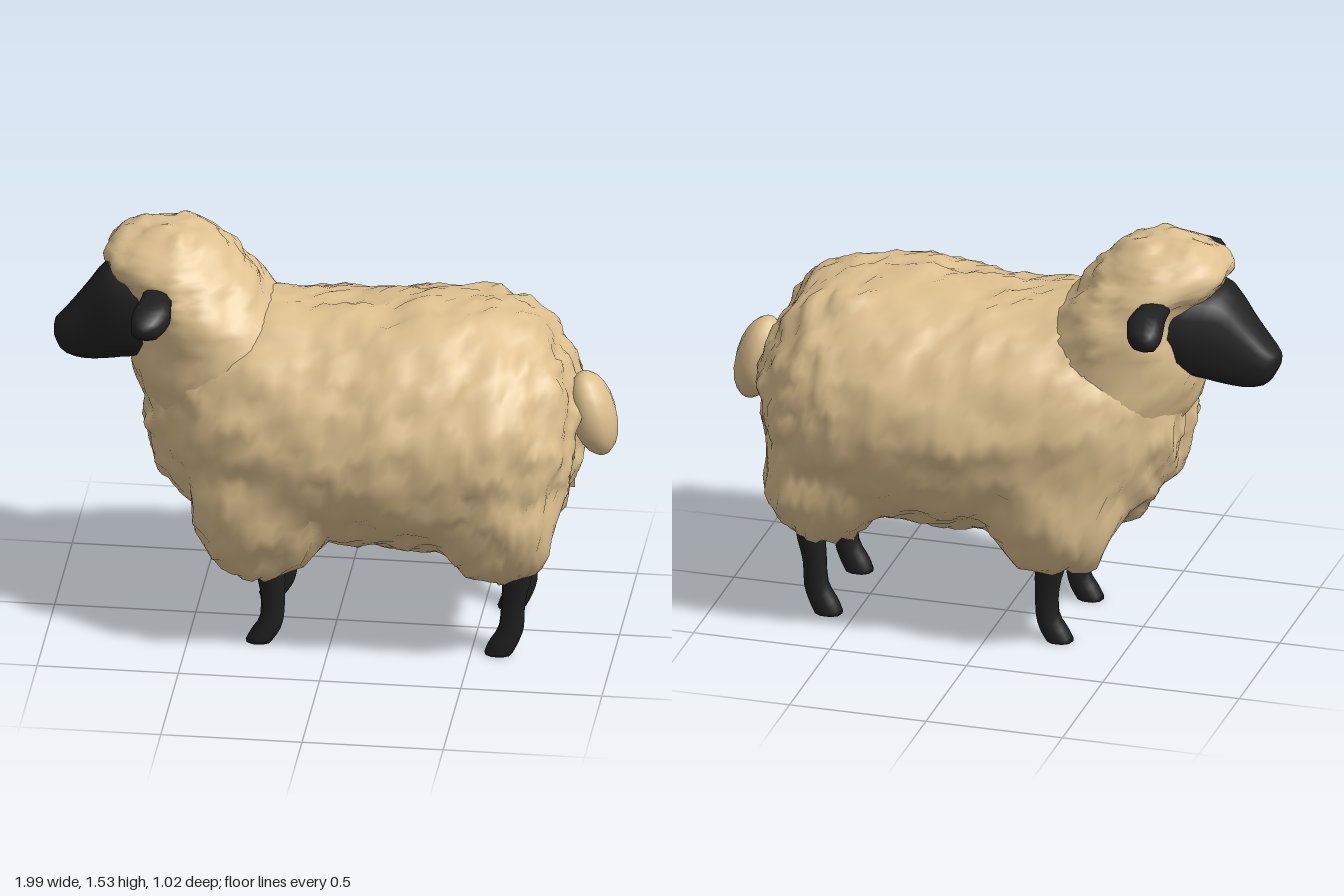
import * as THREE from 'three';

const wool = new THREE.MeshStandardMaterial({ color: 0xddc08f });
wool.name = 'cream wool';
const skin = new THREE.MeshStandardMaterial({ color: 0x202020 });
skin.name = 'black skin';

// Smooth value noise in -1..1, used for fleece lumps
function hash(i, j, k) {
  let h = Math.imul(i, 374761393) ^ Math.imul(j, 668265263) ^ Math.imul(k, 2147483629);
  h = Math.imul(h ^ (h >>> 13), 1274126177);
  return (((h ^ (h >>> 16)) >>> 0) / 4294967295) * 2 - 1;
}
function noise(x, y, z) {
  const p = [x, y, z], c = p.map(Math.floor), f = p.map((v, i) => v - c[i]).map(v => v * v * (3 - 2 * v));
  let sum = 0;
  for (let n = 0; n < 8; n++) {
    const o = [n & 1, (n >> 1) & 1, n >> 2];
    const w = o.reduce((m, b, i) => m * (b ? f[i] : 1 - f[i]), 1);
    sum += w * hash(c[0] + o[0], c[1] + o[1], c[2] + o[2]);
  }
  return sum;
}

// Upper-leg wool lobes that swell out of the body: centre and radii, mirrored in z
const lobes = [
  { c: [-0.24, 0.57, 0.245], r: [0.24, 0.285, 0.175] },
  { c: [0.59, 0.59, 0.245], r: [0.22, 0.285, 0.175] },
];

// Moves a body point outward from its ring centre to a smooth union with the lobes
function swell([x, y, z], [, cy, cz]) {
  let reach = Math.hypot(y - cy, z - cz);
  const dy = (y - cy) / reach, dz = (z - cz) / reach;
  for (const { c, r } of lobes) {
    const t = Math.abs((x - c[0]) / r[0]);
    if (t >= 1) continue;
    const s = Math.sqrt(1 - t ** 2.8), ry = r[1] * s, rz = r[2] * s;
    // Far crossing of the ray with the lobe's elliptical slice
    const oy = (cy - c[1]) / ry, oz = (cz - Math.sign(z) * c[2]) / rz, uy = dy / ry, uz = dz / rz;
    const A = uy * uy + uz * uz, B = oy * uy + oz * uz, D = B * B - A * (oy * oy + oz * oz - 1);
    if (D <= 0) continue;
    const hit = (-B + Math.sqrt(D)) / A, k = 0.04;
    const h = Math.max(k - Math.abs(reach - hit), 0) / k;
    reach = Math.max(reach, hit) + h * h * k / 4;
  }
  return [x, cy + dy * reach, cz + dz * reach];
}

// Lays out [position along axis, first cross range, second cross range] as xyz
const layout = {
  x: (t, a, b) => [t, a, b],   // ranges in y, z
  y: (t, a, b) => [a, t, b],   // ranges in x, z
  z: (t, a, b) => [b, a, t],   // ranges in y, x
};

// Closed skin through elliptical rings [t, a0, a1, b0, b1]; power < 1 squares the section
function loft(rings, axis, { sides = 12, steps = rings.length * 2, power = 1, lumps = 0, reshape = p => p } = {}) {
  const mid = new THREE.CatmullRomCurve3(rings.map(r => new THREE.Vector3(r[0], (r[1] + r[2]) / 2, (r[3] + r[4]) / 2)));
  const rad = new THREE.CatmullRomCurve3(rings.map(r => new THREE.Vector3(r[0], (r[2] - r[1]) / 2, (r[4] - r[3]) / 2)));
  const pos = [], index = [], place = layout[axis];
  const bend = v => Math.sign(v) * Math.abs(v) ** power;
  for (let i = 0; i <= steps; i++) {
    const m = mid.getPoint(i / steps), r = rad.getPoint(i / steps);
    for (let j = 0; j < sides; j++) {
      const q = ((j + (lumps ? 0.5 * (i % 2) : 0)) / sides) * Math.PI * 2;
      const p = place(m.x, m.y + r.y * bend(Math.cos(q)), m.z + r.z * bend(Math.sin(q)));
      pos.push(...reshape(p, place(m.x, m.y, m.z)));
    }
  }
  for (let i = 0; i < steps; i++) for (let j = 0; j < sides; j++) {
    const a = i * sides + j, b = i * sides + (j + 1) % sides, c = a + sides, d = b + sides;
    index.push(a, b, c, b, d, c);
  }
  // End caps
  for (const [i, flip] of [[0, true], [steps, false]]) {
    const m = mid.getPoint(i / steps), centre = pos.length / 3;
    pos.push(...place(m.x, m.y, m.z));
    for (let j = 0; j < sides; j++) {
      const a = i * sides + j, b = i * sides + (j + 1) % sides;
      index.push(...(flip ? [centre, b, a] : [centre, a, b]));
    }
  }
  // Turn faces outward by the sign of the enclosed volume
  const v = k => new THREE.Vector3().fromArray(pos, k * 3);
  let volume = 0;
  for (let k = 0; k < index.length; k += 3) volume += v(index[k]).dot(v(index[k + 1]).cross(v(index[k + 2])));
  if (volume < 0) index.reverse();
  const g = new THREE.BufferGeometry();
  g.setAttribute('position', new THREE.Float32BufferAttribute(pos, 3));
  g.setIndex(index);
  g.computeVertexNormals();
  // Push the fleece in and out along its normals
  if (lumps) {
    const p = g.attributes.position, n = g.attributes.normal;
    for (let k = 0; k < p.count; k++) {
      const [x, y, z] = [p.getX(k), p.getY(k), p.getZ(k)];
      const d = lumps * (0.8 * noise(x * 10 + 40, y * 10, z * 10 + 40) + noise(x * 20 + 7, y * 20, z * 20 + 70));
      p.setXYZ(k, x + n.getX(k) * d, y + n.getY(k) * d, z + n.getZ(k) * d);
    }
    g.computeVertexNormals();
  }
  return g;
}

export function createModel() {
  const group = new THREE.Group();
  group.name = 'sheep';
  const add = (name, geometry, material) => {
    const mesh = new THREE.Mesh(geometry, material);
    mesh.name = name;
    group.add(mesh);
    return mesh;
  };
  // Symmetric ring: second range is +-w
  const sym = rows => rows.map(([t, a0, a1, w]) => [t, a0, a1, -w, w]);

  // Barrel of fleece with shoulders and haunches
  add('bodyWool', loft(sym([
    [-0.665, 0.76, 0.98, 0.08], [-0.645, 0.67, 1.08, 0.16], [-0.58, 0.55, 1.18, 0.245], [-0.45, 0.42, 1.24, 0.355],
    [-0.25, 0.37, 1.26, 0.43], [0, 0.36, 1.25, 0.475], [0.2, 0.35, 1.265, 0.495], [0.45, 0.36, 1.275, 0.49],
    [0.62, 0.4, 1.245, 0.465], [0.74, 0.46, 1.17, 0.4], [0.82, 0.56, 1.06, 0.295], [0.86, 0.7, 0.92, 0.14],
  ]), 'x', { sides: 72, steps: 64, lumps: 0.018, reshape: swell }), wool);

  // Neck rising into the woolly crown
  add('neckWool', loft(sym([
    [0.68, -0.54, -0.1, 0.24], [0.85, -0.66, -0.04, 0.31], [1.0, -0.73, -0.04, 0.315], [1.15, -0.72, -0.12, 0.31],
    [1.25, -0.71, -0.22, 0.297], [1.32, -0.75, -0.28, 0.272], [1.37, -0.8, -0.32, 0.25],
    [1.42, -0.82, -0.36, 0.215], [1.47, -0.775, -0.41, 0.168], [1.505, -0.7, -0.48, 0.11], [1.522, -0.63, -0.54, 0.04],
  ]), 'y', { sides: 44, steps: 34, lumps: 0.014 }), wool);

  // Tail
  const tail = add('tail', new THREE.SphereGeometry(1, 12, 10), wool);
  tail.scale.set(0.082, 0.16, 0.108);
  tail.position.set(0.908, 0.862, 0);
  tail.rotation.z = 0.25;

  // Wedge-shaped face
  add('face', loft(sym([
    [-0.998, 1.06, 1.115, 0.04], [-0.97, 1.01, 1.145, 0.075], [-0.9, 0.985, 1.235, 0.1],
    [-0.81, 0.995, 1.35, 0.14], [-0.75, 1.01, 1.36, 0.165], [-0.66, 1.03, 1.365, 0.19], [-0.55, 1.1, 1.36, 0.19],
  ]), 'x', { sides: 16, steps: 14, power: 0.75 }), skin);

  for (const s of [1, -1]) {
    const side = s > 0 ? 'Left' : 'Right';
    // Ears droop slightly outward
    add('ear' + side, loft([
      [0.2, 1.3, 1.36, -0.66, -0.56], [0.28, 1.285, 1.365, -0.665, -0.55], [0.36, 1.262, 1.365, -0.68, -0.545],
      [0.42, 1.25, 1.34, -0.68, -0.57], [0.452, 1.275, 1.315, -0.655, -0.605],
    ].map(([z, ...r]) => [s * z, ...r]), 'z', { sides: 10, steps: 8, power: 0.8 }), skin);

    // Legs with hooves angled toward the head
    const ring = ([y, x0, x1, w]) => [y, x0, x1, s * 0.19 - w, s * 0.19 + w];
    add('frontLeg' + side, loft([
      [0, -0.3, -0.205, 0.046], [0.04, -0.28, -0.18, 0.046], [0.09, -0.25, -0.165, 0.042],
      [0.2, -0.25, -0.16, 0.044], [0.3, -0.275, -0.16, 0.055], [0.4, -0.28, -0.16, 0.055],
    ].map(ring), 'y', { sides: 10, power: 0.85 }), skin);
    add('rearLeg' + side, loft([
      [0, 0.545, 0.645, 0.046], [0.04, 0.56, 0.665, 0.046], [0.1, 0.595, 0.685, 0.042],
      [0.2, 0.605, 0.69, 0.045], [0.31, 0.61, 0.715, 0.056], [0.4, 0.61, 0.71, 0.055],
    ].map(ring), 'y', { sides: 10, power: 0.85 }), skin);
  }
  return group;
}
